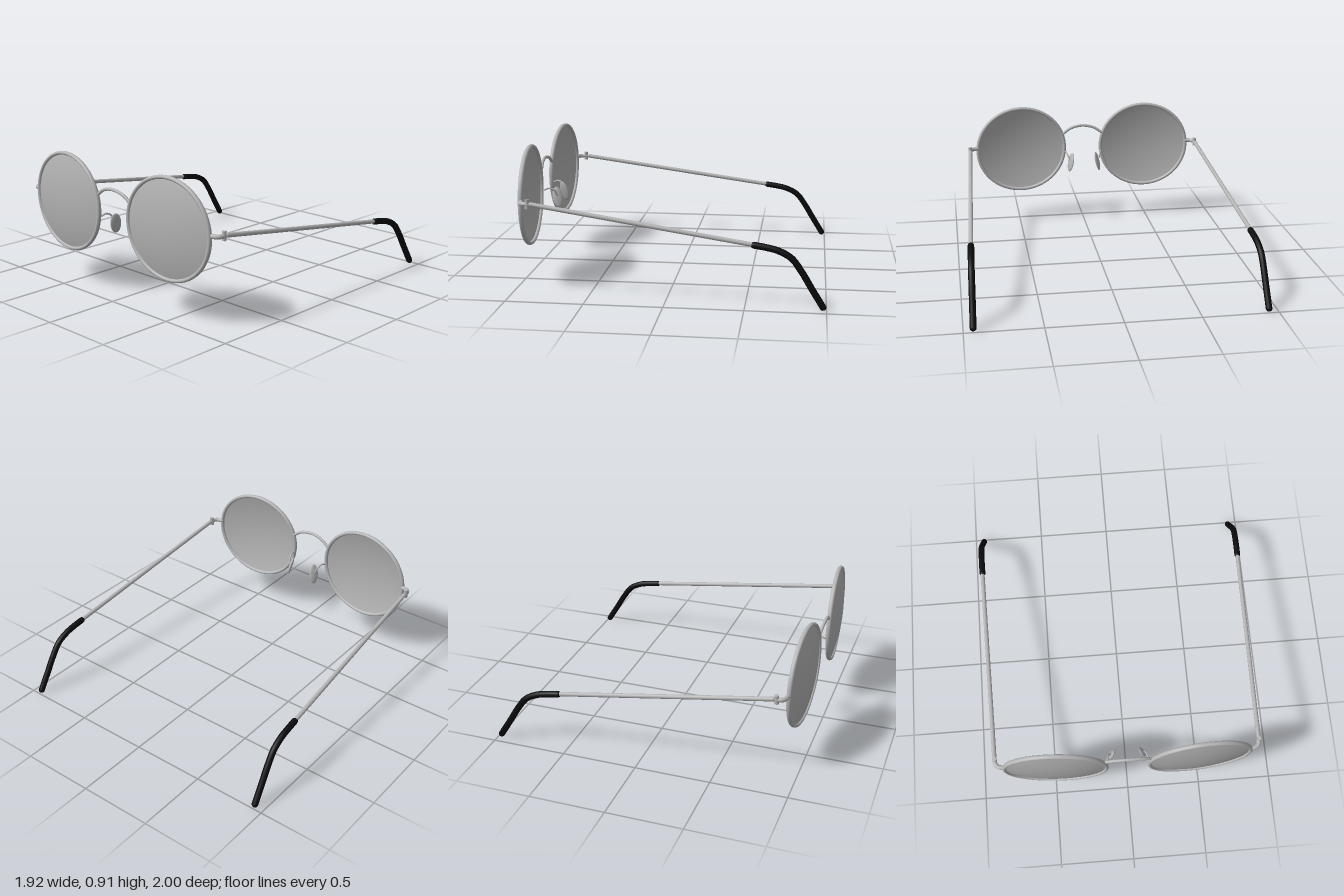
import * as THREE from 'three';

const frameMetal = new THREE.MeshStandardMaterial({ color: 0xb4b4b4 });
frameMetal.name = 'frame metal';
const lensGrey = new THREE.MeshStandardMaterial({ color: 0xb2b2b2, side: THREE.DoubleSide });
lensGrey.name = 'lens grey';
const tipBlack = new THREE.MeshStandardMaterial({ color: 0x0a0a0a });
tipBlack.name = 'tip black';

function add(parent, name, geometry, material) {
  const mesh = new THREE.Mesh(geometry, material);
  mesh.name = name;
  parent.add(mesh);
  return mesh;
}

// Round wire through points, closed by rounded ends; s mirrors it in x
function wire(parent, name, points, radius, material, s = 1, segments = 40) {
  const path = points.map(([x, y, z]) => new THREE.Vector3(x * s, y, z));
  const group = new THREE.Group();
  group.name = name;
  parent.add(group);
  const curve = new THREE.CatmullRomCurve3(path, false, 'centripetal');
  add(group, name + 'Wire', new THREE.TubeGeometry(curve, segments, radius, 16), material);
  for (const end of [path[0], path[path.length - 1]]) {
    add(group, name + 'End', new THREE.SphereGeometry(radius, 16, 12), material).position.copy(end);
  }
}

// Rim with a domed lens, turned slightly outwards
function eyePiece(s) {
  const group = new THREE.Group();
  group.name = s > 0 ? 'leftEyePiece' : 'rightEyePiece';
  group.position.set(0.476 * s, 0.573, 0.952);
  group.rotation.y = 0.055 * s;
  const radius = 0.321, bulge = 0.045, stretch = 1.045;
  add(group, 'rim', new THREE.TorusGeometry(radius, 0.0125, 16, 96).scale(stretch, 1, 1.25), frameMetal);
  const R = (radius * radius + bulge * bulge) / (2 * bulge);
  const dome = new THREE.SphereGeometry(R, 72, 16, 0, Math.PI * 2, 0, Math.asin(radius / R));
  dome.rotateX(Math.PI / 2).translate(0, 0, bulge - R).scale(stretch, 1, 1);
  add(group, 'lens', dome, lensGrey);
  return group;
}

// Oval pad on a bent wire arm
function nosePad(s) {
  const group = new THREE.Group();
  group.name = s > 0 ? 'leftNosePad' : 'rightNosePad';
  wire(group, 'padArm', [[0.14, 0.535, 0.95], [0.135, 0.545, 0.92], [0.125, 0.53, 0.885], [0.11, 0.49, 0.868]],
    0.006, frameMetal, s, 24);
  const pad = add(group, 'pad', new THREE.SphereGeometry(1, 32, 20).scale(0.012, 0.073, 0.036), frameMetal);
  const long = new THREE.Vector3(-0.2 * s, 0.96, 0.2).normalize();
  const normal = long.clone().cross(new THREE.Vector3(0.42 * s, 0, 0.9)).normalize();
  const wide = normal.clone().cross(long);
  pad.quaternion.setFromRotationMatrix(new THREE.Matrix4().makeBasis(normal, long, wide));
  pad.position.set(0.103 * s, 0.477, 0.866);
  return group;
}

// End piece, hinge, side arm and curved ear tip
function temple(s) {
  const group = new THREE.Group();
  group.name = s > 0 ? 'leftTemple' : 'rightTemple';
  wire(group, 'endPiece', [[0.815, 0.597, 0.928], [0.845, 0.597, 0.922], [0.865, 0.597, 0.905], [0.871, 0.597, 0.872]],
    0.015, frameMetal, s, 24);
  const hinge = add(group, 'hinge', new THREE.CylinderGeometry(0.014, 0.014, 0.058, 20), frameMetal);
  hinge.position.set(0.871 * s, 0.598, 0.873);
  wire(group, 'sideArm', [[0.872, 0.597, 0.85], [0.922, 0.396, -0.55]], 0.0145, frameMetal, s, 4);
  wire(group, 'earTip', [
    [0.922, 0.394, -0.552], [0.925, 0.382, -0.63], [0.927, 0.365, -0.7], [0.93, 0.322, -0.78],
    [0.932, 0.245, -0.84], [0.935, 0.13, -0.91], [0.938, 0.021, -0.978],
  ], 0.021, tipBlack, s, 48);
  return group;
}

export function createModel() {
  const model = new THREE.Group();
  model.name = 'roundSpectacles';
  // Arched bridge between the rims
  wire(model, 'bridge', [
    [-0.148, 0.682, 0.964], [-0.09, 0.72, 0.97], [0, 0.738, 0.974], [0.09, 0.72, 0.97], [0.148, 0.682, 0.964],
  ], 0.0105, frameMetal);
  for (const s of [1, -1]) model.add(eyePiece(s), nosePad(s), temple(s));
  return model;
}
